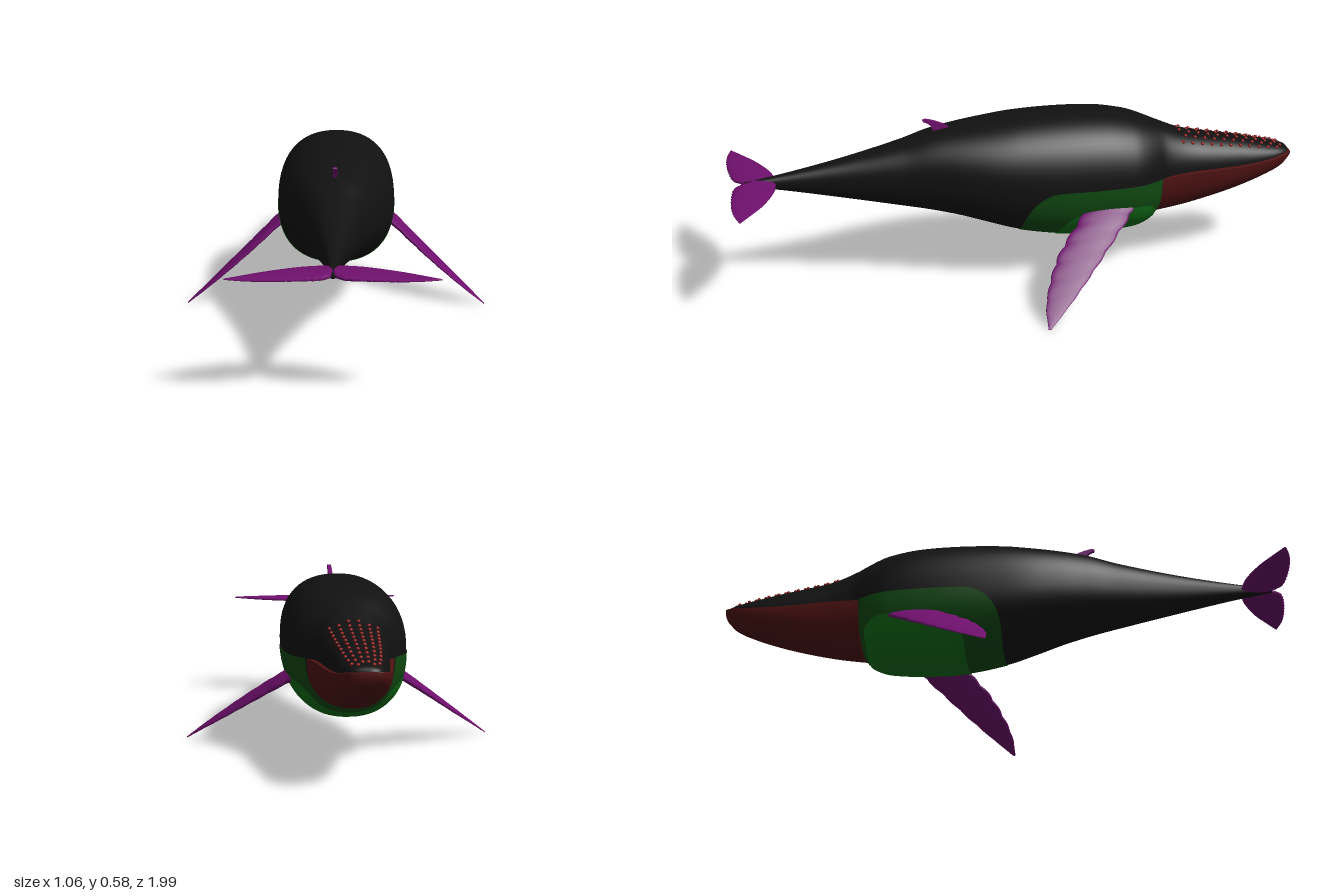
import * as THREE from 'three';

const mat = (name, color, side = THREE.FrontSide) => {
  const m = new THREE.MeshStandardMaterial({ color, side });
  m.name = name;
  return m;
};

// Smooth interpolation of table rows [z, a, b, ...] at position z
function sample(table, z) {
  const last = table.length - 1;
  let i = 0;
  while (i < last - 1 && z > table[i + 1][0]) i++;
  const slope = (k, c) => {
    const a = table[Math.max(k - 1, 0)], b = table[Math.min(k + 1, last)];
    return (b[c] - a[c]) / (b[0] - a[0]);
  };
  const p = table[i], q = table[i + 1], d = q[0] - p[0];
  const t = THREE.MathUtils.clamp((z - p[0]) / d, 0, 1), t2 = t * t, t3 = t2 * t;
  return p.map((v, c) => c === 0 ? z :
    (2 * t3 - 3 * t2 + 1) * v + (t3 - 2 * t2 + t) * d * slope(i, c) +
    (3 * t2 - 2 * t3) * q[c] + (t3 - t2) * d * slope(i + 1, c));
}

// Skin rows of points; closed rows wrap round and are turned to face outwards
function skin(rows, closed) {
  const n = rows[0].length, pos = [], idx = [];
  rows.forEach(r => r.forEach(p => pos.push(...p)));
  for (let i = 0; i < rows.length - 1; i++) {
    for (let j = 0; j < (closed ? n : n - 1); j++) {
      const k = (j + 1) % n, a = i * n + j, b = i * n + k, c = a + n, d = b + n;
      idx.push(a, b, c, b, d, c);
    }
  }
  if (closed) {
    let volume = 0;
    const v = [0, 1, 2].map(() => new THREE.Vector3());
    for (let i = 0; i < idx.length; i += 3) {
      v.forEach((p, k) => p.fromArray(pos, idx[i + k] * 3));
      volume += v[0].dot(v[1].cross(v[2]));
    }
    if (volume < 0) idx.reverse();
  }
  const g = new THREE.BufferGeometry();
  g.setAttribute('position', new THREE.Float32BufferAttribute(pos, 3));
  g.setIndex(idx);
  g.computeVertexNormals();
  return g;
}

// Sections: z, top, bottom, half width, height of the widest line
const BODY = [
  [-0.995, 0.388, 0.368, 0.035, 0.376], [-0.97, 0.398, 0.358, 0.056, 0.37],
  [-0.9, 0.415, 0.335, 0.077, 0.36], [-0.8, 0.437, 0.32, 0.092, 0.355],
  [-0.7, 0.455, 0.3, 0.104, 0.355], [-0.6, 0.477, 0.27, 0.115, 0.355],
  [-0.52, 0.51, 0.215, 0.133, 0.352], [-0.48, 0.527, 0.17, 0.158, 0.35],
  [-0.44, 0.543, 0.15, 0.18, 0.35], [-0.4, 0.556, 0.142, 0.194, 0.353],
  [-0.3, 0.574, 0.135, 0.205, 0.36], [-0.15, 0.58, 0.138, 0.208, 0.362],
  [0, 0.575, 0.165, 0.2, 0.37], [0.1, 0.564, 0.197, 0.187, 0.377],
  [0.2, 0.551, 0.23, 0.163, 0.385], [0.3, 0.533, 0.255, 0.133, 0.39],
  [0.4, 0.503, 0.275, 0.104, 0.39], [0.6, 0.455, 0.315, 0.058, 0.387],
  [0.8, 0.415, 0.355, 0.025, 0.386], [0.94, 0.392, 0.379, 0.009, 0.386],
];
const JAW = [
  [-1, 0.381, 0.352, 0.044, 0.377], [-0.97, 0.377, 0.32, 0.066, 0.373],
  [-0.9, 0.366, 0.286, 0.086, 0.362], [-0.8, 0.359, 0.25, 0.103, 0.355],
  [-0.7, 0.358, 0.222, 0.116, 0.354], [-0.6, 0.357, 0.2, 0.129, 0.353],
  [-0.49, 0.35, 0.185, 0.145, 0.346],
];
const POWER = 2 / 2.3;

// Point on a rounded section; angle 0 is the left side, PI / 2 the top
function hullPoint(table, z, angle, grow = 0) {
  const [, top, bottom, w, mid] = sample(table, z);
  const s = Math.sin(angle), c = Math.cos(angle);
  const h = (s > 0 ? top - mid : mid - bottom) + grow;
  return [Math.sign(c) * Math.abs(c) ** POWER * (w + grow),
    mid + Math.sign(s) * Math.abs(s) ** POWER * h, z];
}

function hull(table, rowCount, n) {
  const z0 = table[0][0], z1 = table[table.length - 1][0], rows = [];
  for (let i = 0; i <= rowCount; i++) {
    const z = z0 + (z1 - z0) * i / rowCount;
    rows.push(Array.from({ length: n }, (_, j) => hullPoint(table, z, j / n * Math.PI * 2)));
  }
  const cap = z => Array(n).fill([0, sample(table, z)[4], z]);
  return skin([cap(z0), ...rows, cap(z1)], true);
}

// Belly patch lying just over the body, up to the height edge(z)
function bellyPatch(z0, z1, edge, grow) {
  const rows = [];
  for (let i = 0; i <= 40; i++) {
    const z = (z0 + z1) / 2 - Math.cos(i / 40 * Math.PI) * (z1 - z0) / 2;
    const [, top, bottom, , mid] = sample(BODY, z), y = edge(z);
    const f = y < mid ? (y - mid) / (mid - bottom) : (y - mid) / (top - mid);
    const a = Math.sign(f) * Math.asin(Math.min(1, Math.abs(f)) ** (1 / POWER));
    rows.push(Array.from({ length: 41 }, (_, j) =>
      hullPoint(BODY, z, -Math.PI / 2 + (j / 20 - 1) * (a + Math.PI / 2), grow)));
  }
  return skin(rows, false);
}

// Thin fin: stations are x, leading z, trailing z, height, half thickness
function fin(stations, side, count, ripple) {
  const x0 = stations[0][0], x1 = stations[stations.length - 1][0], n = 16, rows = [];
  for (let i = 0; i <= count; i++) {
    const u = i / count;
    const [x, lead, trail, y, thick] = sample(stations, x0 + (x1 - x0) * u);
    const [rl, rt] = ripple(u);
    const mid = (lead + trail + rl + rt) / 2, half = (trail + rt - lead - rl) / 2;
    rows.push(Array.from({ length: n }, (_, j) => {
      const a = j / n * Math.PI * 2;
      return [side * x, y + Math.sin(a) * thick, mid + Math.cos(a) * half];
    }));
  }
  const centre = r => Array(n).fill([r[0][0], (r[4][1] + r[12][1]) / 2, (r[0][2] + r[8][2]) / 2]);
  return skin([centre(rows[0]), ...rows, centre(rows[count])], true);
}

const FLIPPER = [
  [0.15, -0.41, -0.25, 0.285, 0.018], [0.2, -0.37, -0.205, 0.255, 0.018],
  [0.31, -0.26, -0.1, 0.172, 0.013], [0.4, -0.168, -0.045, 0.103, 0.009],
  [0.47, -0.092, -0.018, 0.05, 0.005], [0.53, -0.022, -0.012, 0.004, 0.002],
];
const FLUKE = [
  [0, 0.83, 0.93, 0.387, 0.012], [0.03, 0.833, 0.968, 0.387, 0.012],
  [0.1, 0.846, 0.984, 0.387, 0.01], [0.2, 0.887, 0.99, 0.386, 0.007],
  [0.27, 0.93, 0.985, 0.386, 0.005], [0.325, 0.966, 0.972, 0.386, 0.002],
];

export function createModel() {
  const model = new THREE.Group();
  const skinBlack = mat('black skin', 0x111111);
  const jawRed = mat('dark red jaw', 0x4f1212);
  const bumpRed = mat('red bumps', 0x8c1414);
  const finPurple = mat('purple fins', 0x70106e);
  const flankGreen = mat('dark green flank', 0x104a12, THREE.DoubleSide);
  const bellyGreen = mat('green belly', 0x107018, THREE.DoubleSide);
  const add = (name, geometry, material) => {
    const m = new THREE.Mesh(geometry, material);
    m.name = name;
    model.add(m);
    return m;
  };

  add('body', hull(BODY, 120, 64), skinBlack);
  add('lowerJaw', hull(JAW, 40, 48), jawRed);

  // Throat and belly colouring, rounded at the back
  const round = t => Math.sqrt(Math.max(0, 1 - (1 - Math.min(1, Math.max(0, t))) ** 2));
  add('flankPatch', bellyPatch(-0.5, 0, z => 0.21 + 0.14 * round(-z / 0.13), 0.002), flankGreen);
  add('bellyPatch', bellyPatch(-0.48, -0.13,
    z => 0.17 + 0.1 * round((-0.13 - z) / 0.12) * round((z + 0.5) / 0.08), 0.004), bellyGreen);

  // Scalloped flippers and finely toothed tail flukes
  for (const [label, side] of [['left', 1], ['right', -1]]) {
    add(label + 'Flipper', fin(FLIPPER, side, 64, u => {
      const wave = Math.abs(Math.sin(u * Math.PI * 7)) * (1 - u);
      return [-0.012 * wave, 0.014 * Math.abs(Math.cos(u * Math.PI * 7)) * (1 - u)];
    }), finPurple);
    add(label + 'Fluke', fin(FLUKE, side, 72,
      u => [0, 0.005 * Math.abs(Math.sin(u * Math.PI * 14)) * (1 - u)]), finPurple);
  }

  // Small hooked fin on the back
  const hook = new THREE.Shape();
  hook.moveTo(0.22, 0.535);
  hook.quadraticCurveTo(0.25, 0.565, 0.31, 0.578);
  hook.quadraticCurveTo(0.328, 0.576, 0.318, 0.569);
  hook.quadraticCurveTo(0.285, 0.56, 0.285, 0.52);
  hook.closePath();
  const hookGeometry = new THREE.ExtrudeGeometry(hook, { depth: 0.014, bevelEnabled: false });
  hookGeometry.translate(0, 0, -0.007).rotateY(-Math.PI / 2);
  add('dorsalFin', hookGeometry, finPurple);

  // Rows of bumps on top of the head
  const bump = new THREE.SphereGeometry(0.0065, 8, 6);
  for (let row = 0; row < 11; row++) {
    for (const column of [-0.66, -0.42, -0.14, 0.14, 0.42, 0.66]) {
      const z = -0.59 - row * 0.036 - (Math.abs(column) === 0.42 ? 0.016 : 0);
      const angle = Math.acos(Math.abs(column) ** (1 / POWER) * Math.sign(column));
      add('headBump', bump, bumpRed).position.fromArray(hullPoint(BODY, z, angle));
    }
  }
  return model;
}
